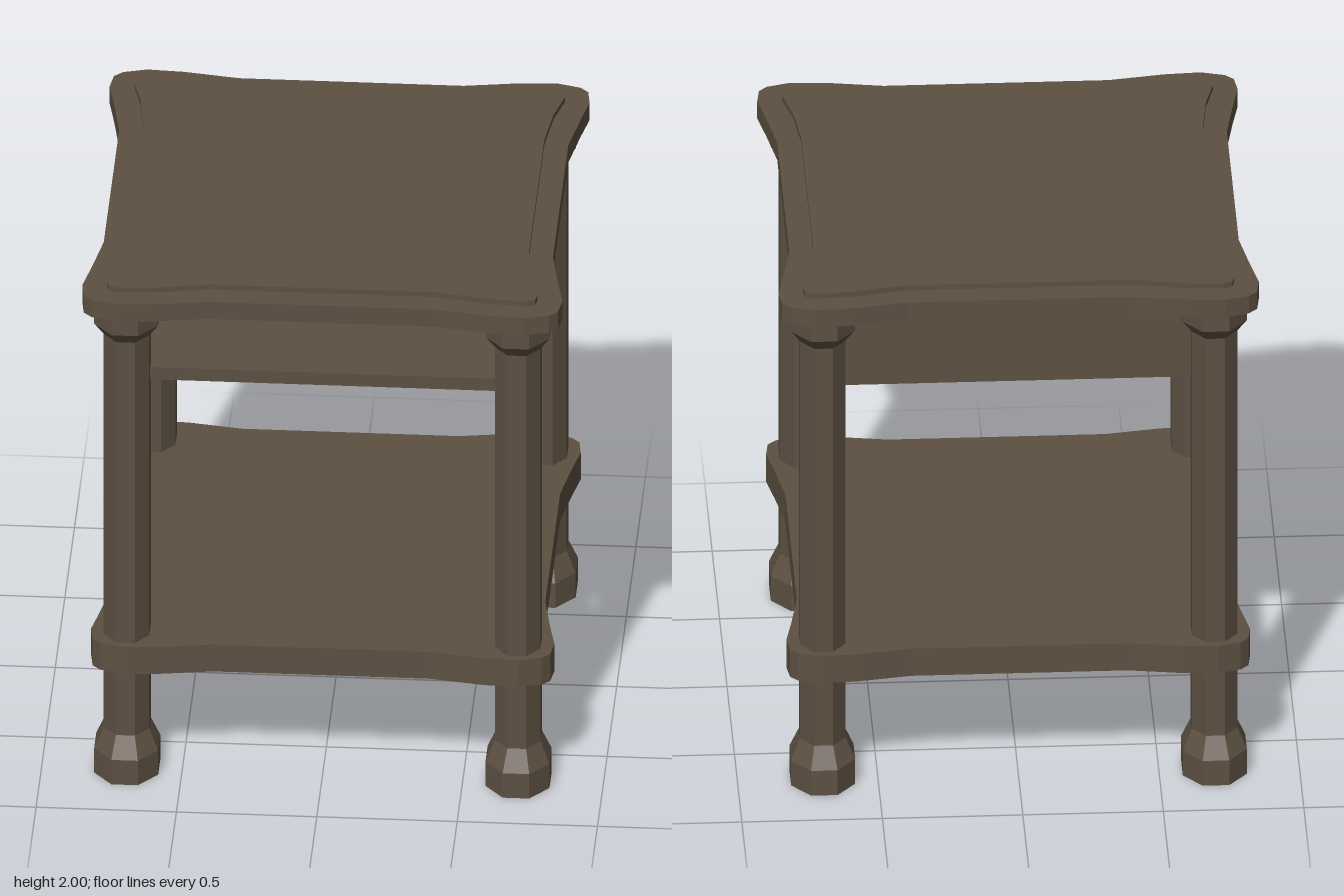
import * as THREE from 'three';

const wood = new THREE.MeshStandardMaterial({ color: 0x5d5042, flatShading: true });
wood.name = 'dark brown wood';

// One quarter of each outline, from the right side round to the front side
const topEdge = [[0.8, 0.4], [0.83, 0.58], [0.855, 0.71], [0.845, 0.785], [0.815, 0.815], [0.73, 0.84], [0.6, 0.832], [0.4, 0.8]];
const panelEdge = [[0.715, 0.4], [0.735, 0.58], [0.767, 0.71], [0.76, 0.742], [0.73, 0.755], [0.6, 0.747], [0.4, 0.711]];
const shelfEdge = topEdge.map(([x, z]) => [x * 0.965, z * 0.965]);

function add(group, name, geometry, x = 0, y = 0, z = 0) {
  const mesh = new THREE.Mesh(geometry, wood);
  mesh.name = name;
  mesh.position.set(x, y, z);
  group.add(mesh);
  return mesh;
}

// Horizontal board whose quarter outline is mirrored to all four corners
function board(group, name, quarter, y0, y1) {
  const back = [...quarter].reverse();
  const points = [
    ...quarter,
    ...back.map(([x, z]) => [-x, z]),
    ...quarter.map(([x, z]) => [-x, -z]),
    ...back.map(([x, z]) => [x, -z]),
  ].map(([x, z]) => new THREE.Vector2(x, z));
  const geometry = new THREE.ExtrudeGeometry(new THREE.Shape(points), { depth: y1 - y0, bevelEnabled: false });
  geometry.rotateX(-Math.PI / 2);
  return add(group, name, geometry, 0, y0, 0);
}

// Octagonal leg with a flared foot and capital
function legGeometry() {
  const profile = [[0, 0], [0.114, 0], [0.114, 0.1], [0.081, 0.18], [0.081, 1.79], [0.114, 1.84], [0.114, 1.915], [0, 1.915]];
  const k = 1 / Math.cos(Math.PI / 8);
  const geometry = new THREE.LatheGeometry(profile.map(([w, y]) => new THREE.Vector2(w * k, y)), 8, Math.PI / 8);
  return geometry.scale(1, 1, 1.2);
}

export function createModel() {
  const table = new THREE.Group();
  table.name = 'sideTable';

  board(table, 'tabletop', topEdge, 1.91, 1.98);
  board(table, 'topPanel', panelEdge, 1.98, 2.0);
  board(table, 'lowerShelf', shelfEdge, 0.45, 0.56);

  const leg = legGeometry();
  for (const x of [-1, 1]) {
    for (const z of [-1, 1]) {
      add(table, `${z > 0 ? 'front' : 'back'}${x > 0 ? 'Left' : 'Right'}Leg`, leg, x * 0.697, 0, z * 0.682);
    }
  }

  // Compartment below the top, open at the front
  const compartment = new THREE.Group();
  compartment.name = 'openCompartment';
  table.add(compartment);
  const w = 0.69, d = 0.67, t = 0.04;
  add(compartment, 'compartmentFloor', new THREE.BoxGeometry(2 * w, 0.05, 2 * d), 0, 1.605, 0);
  add(compartment, 'compartmentCeiling', new THREE.BoxGeometry(2 * w, 0.05, 2 * d), 0, 1.885, 0);
  add(compartment, 'compartmentBack', new THREE.BoxGeometry(2 * w, 0.23, t), 0, 1.745, -d + t / 2);
  for (const s of [-1, 1]) {
    add(compartment, 'compartmentSide', new THREE.BoxGeometry(t, 0.23, 2 * d - t), s * (w - t / 2), 1.745, t / 2);
  }

  return table;
}
